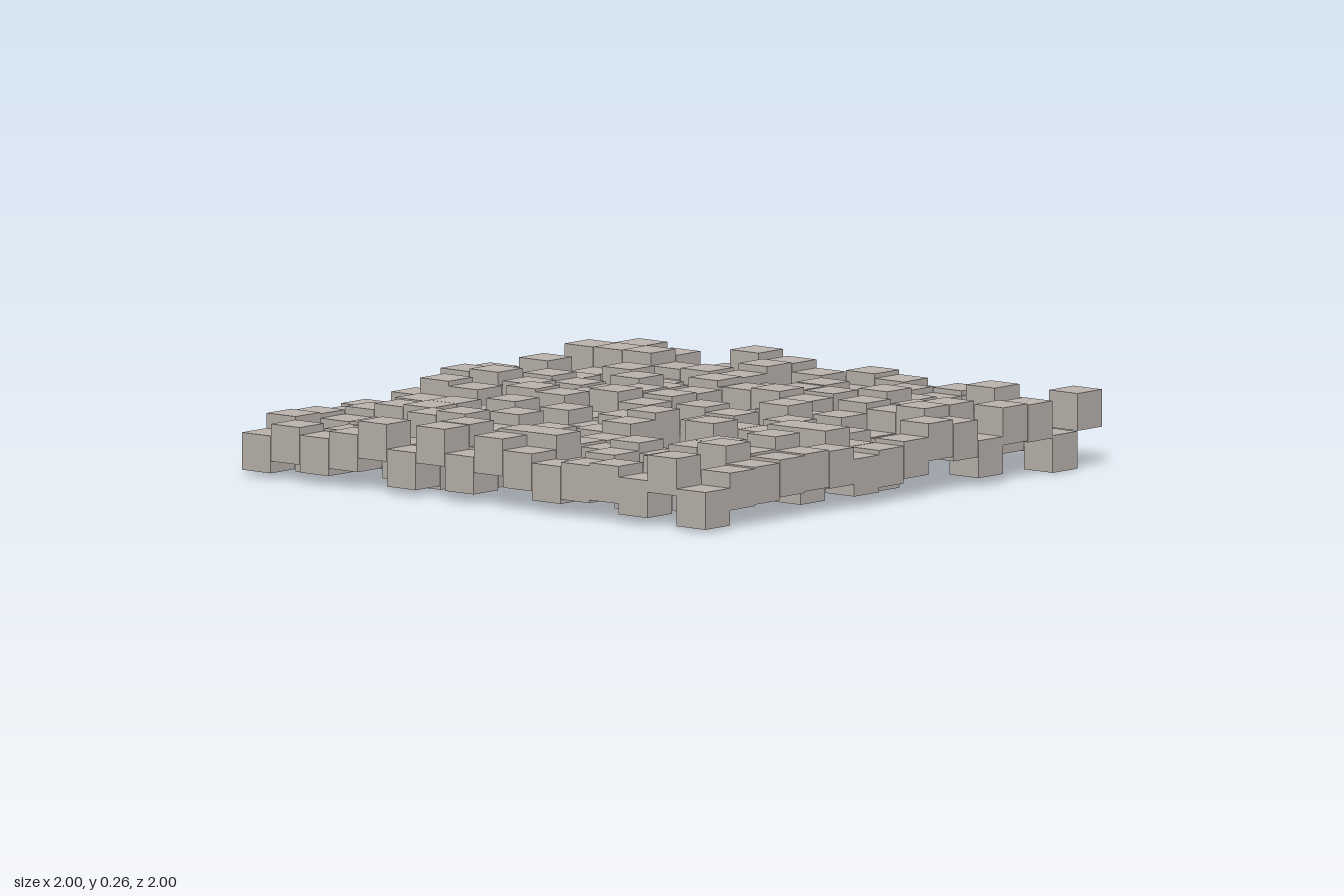
import * as THREE from 'three';

// A square field of 16 x 16 cubes, each lifted by its own small amount.
const COUNT = 16;
const CELL = 2 / COUNT;
const CUBE = CELL * 0.99;
const MIN_LIFT = 0.008;
const MAX_LIFT = 0.14;

// Lifts along the four rims: front and back run from -x to +x, the sides from +z to -z.
const FRONT = [0.015, 0.065, 0.07, 0.08, 0.085, 0.08, 0.04, 0.055, 0.07, 0.115, 0.1, 0.03, 0.125, 0.12, 0.005, 0.13];
const LEFT = [0.13, 0.04, 0.07, 0.075, 0.09, 0.07, 0.095, 0.11, 0.065, 0.03, 0.105, 0.13, 0.06, 0.04, 0.085, 0.105];
const BACK = [0.02, 0.07, 0.065, 0.05, 0.06, 0.015, 0.07, 0.06, 0.12, 0.11, 0.07, 0.06, 0.005, 0.13, 0.09, 0.105];
const RIGHT = [0.015, 0.115, 0.03, 0.065, 0.055, 0.04, 0.07, 0.107, 0.035, 0.115, 0.025, 0.107, 0.06, 0.035, 0.06, 0.02];

function seededRandom(seed) {
  let s = seed;
  return () => {
    s = (Math.imul(s, 1664525) + 1013904223) >>> 0;
    return s / 4294967296;
  };
}

export function createModel() {
  const model = new THREE.Group();
  model.name = 'cubeField';

  const geometry = new THREE.BoxGeometry(CUBE, CUBE, CUBE);
  const material = new THREE.MeshStandardMaterial({ color: 0xbcb4ae });
  const random = seededRandom(7);
  const last = COUNT - 1;

  // Rim cubes take their listed lift, inner cubes a scattered one.
  const liftAt = (col, row) => {
    if (row === 0) return FRONT[col];
    if (row === last) return BACK[col];
    if (col === last) return LEFT[row];
    if (col === 0) return RIGHT[row];
    if (col === 5 && row === 5) return 0.003; // lowest cube
    if (col === 9 && row === 10) return 0.143; // highest cube
    const lowest = col === 9 || col === 10 ? 0.035 : MIN_LIFT; // two columns sit clear of the base
    return lowest + random() * (MAX_LIFT - lowest);
  };

  // Rows from front to back
  for (let row = 0; row < COUNT; row++) {
    const rowGroup = new THREE.Group();
    rowGroup.name = `cubeRow${row + 1}`;
    rowGroup.position.z = 1 - (row + 0.5) * CELL;
    for (let col = 0; col < COUNT; col++) {
      const cube = new THREE.Mesh(geometry, material);
      cube.name = `cube${row + 1}_${col + 1}`;
      cube.position.set(-1 + (col + 0.5) * CELL, CUBE / 2 + liftAt(col, row), 0);
      rowGroup.add(cube);
    }
    model.add(rowGroup);
  }
  return model;
}
